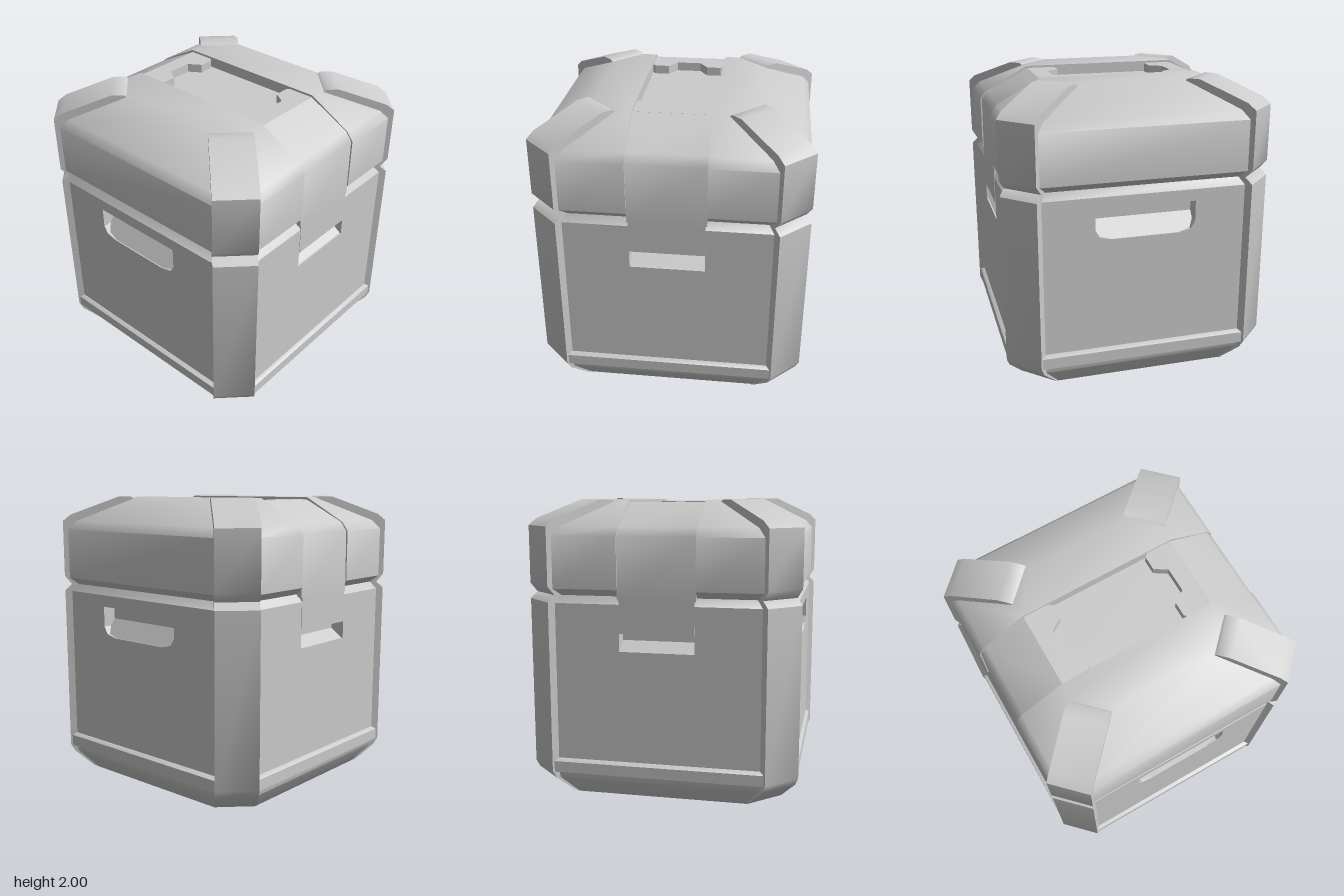
import * as THREE from 'three';
import { toCreasedNormals } from 'three/addons/utils/BufferGeometryUtils.js';

const material = new THREE.MeshStandardMaterial({ color: 0xcccccc });
const CREASE = 0.75;

function add(parent, name, geometry) {
  const mesh = new THREE.Mesh(geometry, material);
  mesh.name = name;
  parent.add(mesh);
  return mesh;
}

const shapeOf = (pts) => new THREE.Shape(pts.map(([x, y]) => new THREE.Vector2(x, y)));

// Extrudes an outline in xy, centred on z = 0
function slab(pts, depth, crease = CREASE) {
  const g = new THREE.ExtrudeGeometry(shapeOf(pts), { depth, bevelEnabled: false });
  g.translate(0, 0, -depth / 2);
  return toCreasedNormals(g, crease);
}

// Stacks rings [halfWidth, y] of a plan outline, bottom to top, with flat caps
function loft(levels, outline) {
  const rings = levels.map(([w, y]) => outline(w).map(([x, z]) => [x, y, z]));
  const n = rings[0].length, pos = [];
  for (let r = 0; r < rings.length - 1; r++) {
    for (let i = 0; i < n; i++) {
      const j = (i + 1) % n, lo = rings[r], hi = rings[r + 1];
      pos.push(...lo[i], ...hi[i], ...lo[j], ...lo[j], ...hi[i], ...hi[j]);
    }
  }
  const bottom = rings[0], top = rings[rings.length - 1];
  for (let i = 1; i < n - 1; i++) {
    pos.push(...bottom[0], ...bottom[i], ...bottom[i + 1]);
    pos.push(...top[0], ...top[i + 1], ...top[i]);
  }
  const g = new THREE.BufferGeometry();
  g.setAttribute('position', new THREE.Float32BufferAttribute(pos, 3));
  g.computeVertexNormals();
  return toCreasedNormals(g, CREASE);
}

const CUT = 0.19;          // corner cut of the plan
const STRAP = 0.26;        // half width of the strap channel
const FACE = 0.885;        // plane of the body panels
const octagon = (w) => {
  const a = w - CUT;
  return [[w, a], [a, w], [-a, w], [-w, a], [-w, -a], [-a, -w], [a, -w], [w, -a]];
};
const halfOctagon = (w) => {
  const a = w - CUT;
  return [[w, STRAP], [w, a], [a, w], [-a, w], [-w, a], [-w, STRAP]];
};

// Wall panel with a pocket opening and a sloping pocket floor
function wall(hole, halfWidth, lipY, backY) {
  const group = new THREE.Group();
  const shape = shapeOf([[-0.7, 0.26], [0.7, 0.26], [0.7, 1.33], [-0.7, 1.33]]);
  shape.holes.push(new THREE.Path(hole.map(([x, y]) => new THREE.Vector2(x, y))));
  const g = new THREE.ExtrudeGeometry(shape, { depth: 0.1, bevelEnabled: false });
  g.translate(0, 0, FACE - 0.1);
  add(group, 'wallPanel', g);
  const ramp = slab([[-FACE + 0.004, lipY], [-0.78, lipY], [-0.78, backY]], halfWidth * 2, 0.3);
  ramp.rotateY(Math.PI / 2);
  add(group, 'pocketFloor', ramp);
  return group;
}

export function createModel() {
  const model = new THREE.Group();
  model.name = 'crate';

  // Body: base, bottom rim, inner core and the bevel below the lid seam
  add(model, 'body', loft([
    [0.78, 0], [0.88, 0.13], [0.885, 0.17], [0.91, 0.175], [0.91, 0.25], [FACE, 0.27],
    [0.79, 0.27], [0.79, 1.33], [FACE, 1.33], [0.85, 1.38],
  ], octagon));

  // Four walls: grip pockets front and back, latch slots left and right
  const grip = [[-0.34, 1.25], [-0.34, 1.11], [-0.31, 1.06], [-0.23, 1.04],
    [0.23, 1.04], [0.31, 1.06], [0.34, 1.11], [0.34, 1.25]];
  const slot = [[-0.25, 1.14], [-0.25, 1.02], [0.25, 1.02], [0.25, 1.14]];
  for (let k = 0; k < 4; k++) {
    const side = k % 2 === 0 ? wall(grip, 0.345, 1.035, 1.17) : wall(slot, 0.255, 1.015, 1.09);
    side.name = ['frontWall', 'leftWall', 'backWall', 'rightWall'][k];
    side.rotation.y = k * Math.PI / 2;
    model.add(side);
  }

  // Lid: two mirrored halves either side of the strap channel
  const lidHalf = loft([
    [0.85, 1.38], [0.895, 1.425], [0.895, 1.77], [0.85, 1.83], [0.55, 1.995],
  ], halfOctagon);
  add(model, 'lidFront', lidHalf);
  add(model, 'lidBack', lidHalf).rotation.y = Math.PI;

  // Sunken handle well between the strap ends
  const well = new THREE.BoxGeometry(1.12, 0.62, STRAP * 2);
  well.translate(0, 1.61, 0);
  add(model, 'handleWell', well);

  // Strap arms down the sides, with notched end tabs on top
  const upperArm = slab([
    [0.78, 1.36], [0.888, 1.36], [0.884, 1.77], [0.84, 1.83], [0.545, 1.98],
    [0.545, 1.88], [0.78, 1.78],
  ], STRAP * 2);
  const lowerArm = slab([[0.78, 1.14], [0.888, 1.14], [0.888, 1.36], [0.78, 1.36]], 0.5);
  const tab = new THREE.ExtrudeGeometry(shapeOf([
    [0.546, -0.26], [0.546, 0.26], [0.37, 0.26], [0.345, 0.24], [0.345, 0.14], [0.43, 0.085],
    [0.43, -0.085], [0.345, -0.14], [0.345, -0.24], [0.37, -0.26],
  ]), { depth: 0.07, bevelEnabled: false });
  tab.rotateX(Math.PI / 2).translate(0, 1.98, 0);
  for (const [name, turn] of [['leftStrap', 0], ['rightStrap', Math.PI]]) {
    const strap = new THREE.Group();
    strap.name = name;
    add(strap, 'upperArm', upperArm);
    add(strap, 'lowerArm', lowerArm);
    add(strap, 'strapTab', tab);
    strap.rotation.y = turn;
    model.add(strap);
  }

  // Corner guards: profiles are [x + z, y] along the diagonal
  const diagonal = (pts) => pts.map(([s, y]) => [s / Math.SQRT2, y]);
  const width = 0.2 * Math.SQRT2;
  const post = slab(diagonal([
    [1.36, 0], [1.4, 0.01], [1.6, 0.13], [1.64, 0.18], [1.64, 1.335], [1.57, 1.38],
    [1.45, 1.38], [1.45, 0.2],
  ]), width);
  const cap = slab(diagonal([
    [1.45, 1.38], [1.57, 1.38], [1.64, 1.44], [1.64, 1.83], [1.56, 1.875], [1.08, 2],
    [0.96, 2], [0.93, 1.985], [0.93, 1.94], [1.45, 1.78],
  ]), width);
  for (let k = 0; k < 4; k++) {
    const corner = new THREE.Group();
    corner.name = 'cornerGuard';
    add(corner, 'cornerPost', post);
    add(corner, 'lidCorner', cap);
    corner.rotation.y = Math.PI / 4 + k * Math.PI / 2;
    model.add(corner);
  }
  return model;
}
